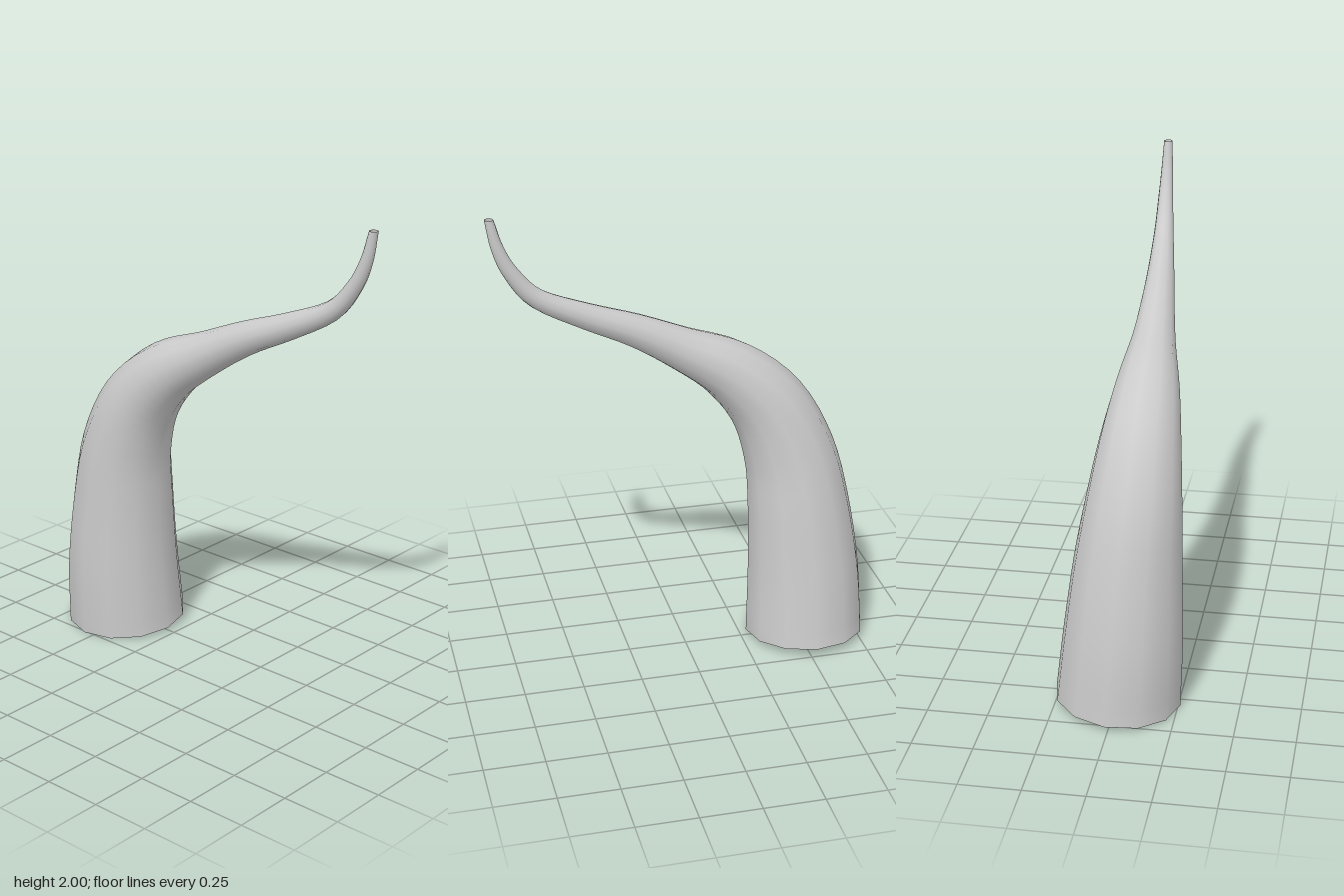
import * as THREE from 'three';

const SIDES = 12, RINGS = 48;

// Stations along the horn: centre x, y, z and radius
const STATIONS = [
  [0, 0.02, -0.535, 0.26], [-0.02, 0.3, -0.532, 0.247], [-0.036, 0.6, -0.508, 0.223],
  [-0.053, 0.85, -0.466, 0.197], [-0.063, 1.075, -0.37, 0.167], [-0.065, 1.245, -0.208, 0.133],
  [-0.057, 1.365, 0, 0.093], [-0.045, 1.47, 0.2, 0.07], [-0.029, 1.555, 0.4, 0.055],
  [-0.01, 1.655, 0.6, 0.041], [-0.002, 1.77, 0.7, 0.032], [0, 1.88, 0.752, 0.025],
  [0, 2, 0.781, 0.018],
];

// Sweeps a tapering ring along the curved centre line, open at both ends
function hornGeometry() {
  const spline = (points) => new THREE.CatmullRomCurve3(points, false, 'catmullrom', 0.5);
  const path = spline(STATIONS.map(([x, y, z]) => new THREE.Vector3(x, y, z)));
  const taper = spline(STATIONS.map((s) => new THREE.Vector3(s[3], 0, 0)));
  const positions = [], index = [];
  const across = new THREE.Vector3(1, 0, 0);

  for (let i = 0; i <= RINGS; i++) {
    const t = i / RINGS;
    const centre = path.getPoint(t);
    const radius = taper.getPoint(t).x;
    const tangent = path.getTangent(t);
    // The base cut leans slightly sideways, the tip is cut level
    if (i === 0) tangent.set(-0.077, 1, 0).normalize();
    if (i === RINGS) tangent.set(0, 1, 0);
    // Carry the ring's axis along without twisting
    across.addScaledVector(tangent, -across.dot(tangent)).normalize();
    const side = tangent.clone().cross(across);

    for (let j = 0; j < SIDES; j++) {
      const a = (j / SIDES) * Math.PI * 2 - 0.05;
      const p = centre.clone()
        .addScaledVector(across, Math.cos(a) * radius)
        .addScaledVector(side, Math.sin(a) * radius);
      positions.push(p.x, p.y, p.z);
      if (i < RINGS) {
        const p0 = i * SIDES + j, p1 = i * SIDES + ((j + 1) % SIDES);
        index.push(p0, p1, p0 + SIDES, p1, p1 + SIDES, p0 + SIDES);
      }
    }
  }
  const geometry = new THREE.BufferGeometry();
  geometry.setAttribute('position', new THREE.Float32BufferAttribute(positions, 3));
  geometry.setIndex(index);
  geometry.computeVertexNormals();
  return geometry;
}

export function createModel() {
  const model = new THREE.Group();
  const material = new THREE.MeshStandardMaterial({ color: 0xcccccc, side: THREE.DoubleSide });
  const horn = new THREE.Mesh(hornGeometry(), material);
  horn.name = 'horn';
  model.add(horn);
  return model;
}
